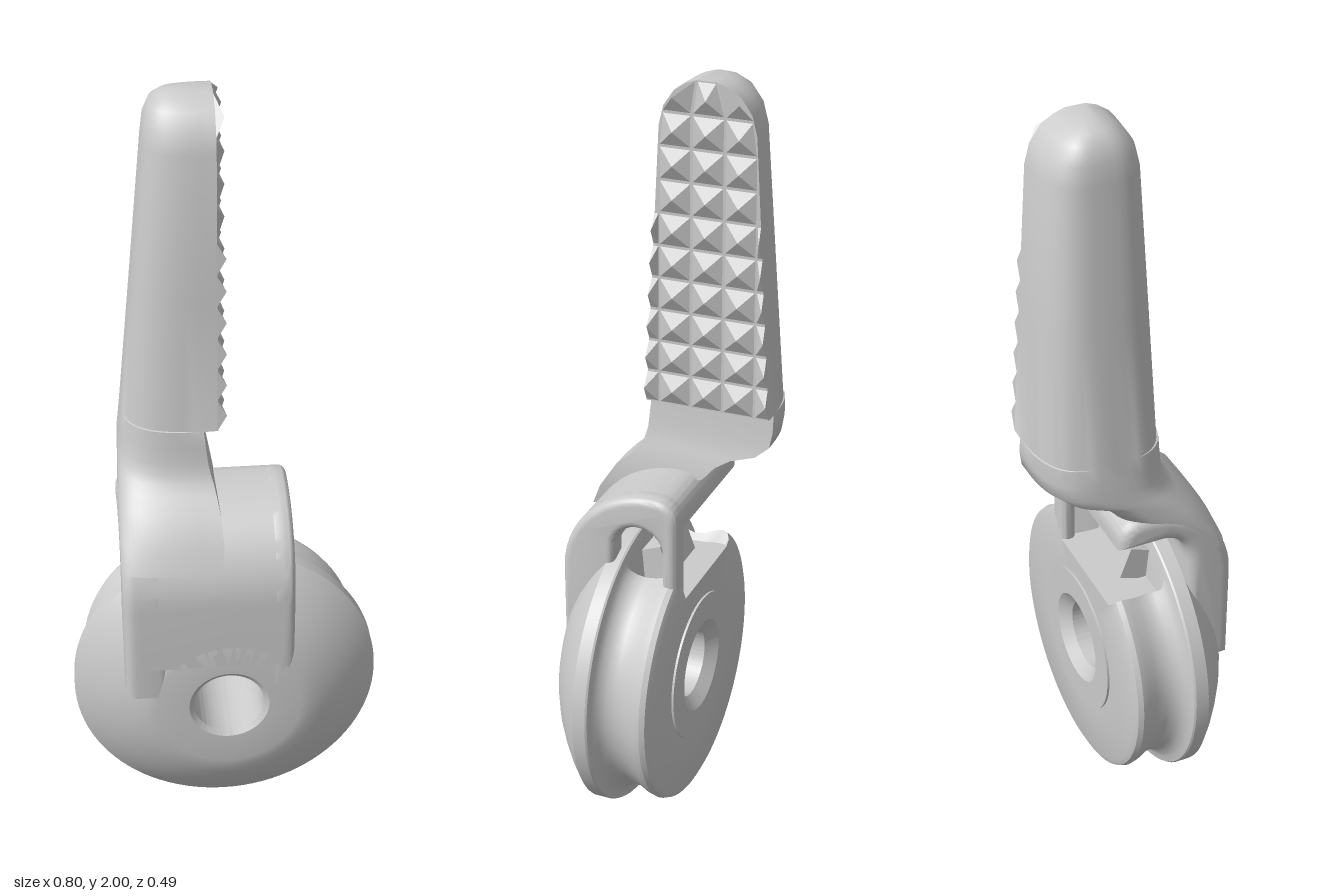
import * as THREE from 'three';
import { mergeGeometries, toCreasedNormals } from 'three/addons/utils/BufferGeometryUtils.js';

// Handle stations: y, outer x, grip-side x, back z, front z
const STATIONS = [
  [0.82, -0.27, -0.02, 0.15, 0.24],
  [0.88, -0.27, -0.01, 0.1, 0.215],
  [0.95, -0.268, -0.015, -0.07, 0.17],
  [0.985, -0.266, -0.022, -0.1, 0.13],
  [1.01, -0.264, -0.028, -0.14, 0.108],
  [1.03, -0.262, -0.034, -0.205, 0.098],
  [1.06, -0.26, -0.04, -0.24, 0.09],
  [1.1, -0.255, -0.045, -0.247, 0.087],
  [1.149, -0.25, -0.05, -0.247, 0.083],
  [1.15, -0.25, -0.014, -0.247, 0.083],
  [1.5, -0.218, -0.014, -0.226, 0.066],
  [1.88, -0.184, -0.014, -0.203, 0.047],
  [1.93, -0.178, -0.014, -0.19, 0.035],
  [1.97, -0.163, -0.014, -0.162, 0.008],
  [1.99, -0.142, -0.014, -0.13, -0.022],
  [2.0, -0.115, -0.014, -0.1, -0.05],
];

// Depth limits of the handle at a given height
function depthAt(y) {
  let i = 1;
  while (i < STATIONS.length - 1 && STATIONS[i][0] < y) i++;
  const a = STATIONS[i - 1], b = STATIONS[i];
  const t = THREE.MathUtils.clamp((y - a[0]) / (b[0] - a[0]), 0, 1);
  return [a[3] + (b[3] - a[3]) * t, a[4] + (b[4] - a[4]) * t];
}

// D-shaped cross-sections lofted upwards, capped at both ends
function handleGeometry() {
  const N = 28, pos = [];
  const rings = STATIONS.map(([y, xo, xg, zb, zf]) => {
    const ring = [];
    for (let i = 0; i <= N; i++) {
      const t = (i / N) * Math.PI, c = Math.cos(t);
      const s = Math.pow(Math.max(0, Math.sin(t)), 0.65);
      const k = Math.sign(c) * Math.pow(Math.abs(c), 0.65);
      ring.push([xg + (xo - xg) * s, y, (zb + zf) / 2 + (k * (zf - zb)) / 2]);
    }
    return ring;
  });
  const tri = (a, b, c) => pos.push(...a, ...b, ...c);
  for (let j = 0; j < rings.length - 1; j++) {
    for (let i = 0; i <= N; i++) {
      const n = (i + 1) % (N + 1), lo = rings[j], hi = rings[j + 1];
      tri(lo[i], hi[i], hi[n]);
      tri(lo[i], hi[n], lo[n]);
    }
  }
  const bottom = rings[0], top = rings[rings.length - 1];
  for (let i = 1; i < N; i++) {
    tri(bottom[0], bottom[i], bottom[i + 1]);
    tri(top[0], top[i + 1], top[i]);
  }
  const g = new THREE.BufferGeometry();
  g.setAttribute('position', new THREE.Float32BufferAttribute(pos, 3));
  return toCreasedNormals(g, 0.7);
}

// Grid of small pyramids trimmed to the handle outline
function gripGeometry() {
  const pitch = 0.085, parts = [];
  for (let r = 0; r < 10; r++) {
    const y = 1.15 + pitch * (r + 0.5);
    const [zb, zf] = depthAt(y);
    for (let c = -2; c <= 2; c++) {
      const z = -0.08 + c * pitch;
      if (z - pitch / 2 > zf - 0.01 || z + pitch / 2 < zb + 0.01) continue;
      const g = new THREE.ConeGeometry(pitch / Math.SQRT2, 0.024, 4, 1, true);
      g.rotateY(Math.PI / 4).rotateZ(-Math.PI / 2).translate(-0.004, y, z);
      const p = g.attributes.position;
      for (let i = 0; i < p.count; i++) {
        const [b, f] = depthAt(p.getY(i));
        p.setZ(i, THREE.MathUtils.clamp(p.getZ(i), b, f));
      }
      parts.push(g);
    }
  }
  return mergeGeometries(parts);
}

// Extrude a side profile (z, y) between two x positions
function sideExtrude(shape, x0, x1, bevel = 0) {
  const g = new THREE.ExtrudeGeometry(shape, {
    depth: x1 - x0 - 2 * bevel, bevelEnabled: bevel > 0, bevelSize: bevel,
    bevelThickness: bevel, bevelOffset: -bevel, bevelSegments: 5, curveSegments: 14,
  });
  g.rotateY(-Math.PI / 2).translate(x1 - bevel, 0, 0);
  return toCreasedNormals(g, 0.6);
}

// Common outer outline of the housing, from the lower front over the top to the back
function housingOutline(frontBottom) {
  const s = new THREE.Shape();
  s.moveTo(0.245, frontBottom);
  s.lineTo(0.245, 0.72);
  s.bezierCurveTo(0.245, 0.86, 0.13, 0.965, 0, 0.965);
  s.quadraticCurveTo(-0.072, 0.965, -0.072, 0.9);
  return s;
}

// End wall with an arched cord passage
function cheekShape() {
  const s = housingOutline(0.46);
  s.lineTo(-0.072, 0.64);
  s.lineTo(-0.03, 0.64);
  s.lineTo(-0.03, 0.81);
  s.absarc(0.035, 0.81, 0.065, Math.PI, 0, true);
  s.lineTo(0.1, 0.76);
  s.lineTo(0.13, 0.7);
  s.lineTo(0.13, 0.46);
  return s;
}

// Front wall and roof, open to the back
function roofShape(frontBottom) {
  const s = housingOutline(frontBottom);
  s.lineTo(-0.072, 0.88);
  s.lineTo(0.05, 0.88);
  s.quadraticCurveTo(0.12, 0.87, 0.12, 0.78);
  s.lineTo(0.12, frontBottom);
  return s;
}

function wheelGeometry() {
  const pts = [
    [0.092, 0.235], [0.092, -0.05], [0.125, -0.078], [0.2, -0.078], [0.2, -0.072],
    [0.345, -0.072], [0.362, -0.064], [0.367, -0.05], [0.362, -0.03], [0.35, -0.005], [0.345, 0.025],
    [0.35, 0.048], [0.362, 0.066], [0.38, 0.076], [0.397, 0.08], [0.4, 0.085], [0.4, 0.12],
    [0.37, 0.148], [0.335, 0.175], [0.295, 0.202], [0.25, 0.226], [0.215, 0.24], [0.19, 0.245],
    [0.105, 0.245], [0.092, 0.235],
  ].map(([r, h]) => new THREE.Vector2(r, h));
  const g = new THREE.LatheGeometry(pts, 96).rotateX(Math.PI / 2).translate(0, 0.4, 0);
  // flat cut under the housing opening, behind the front flange
  const p = g.attributes.position;
  for (let i = 0; i < p.count; i++) {
    const angle = Math.atan2(p.getX(i), p.getY(i) - 0.4);
    if (p.getZ(i) < 0.07 && angle > -0.6 && angle < 0.38) p.setY(i, Math.min(p.getY(i), 0.66));
  }
  return toCreasedNormals(g, 0.5);
}

export function createModel() {
  const model = new THREE.Group();
  model.name = 'cordWheelLever';
  const smooth = new THREE.MeshStandardMaterial({ color: 0xcccccc });
  const faceted = new THREE.MeshStandardMaterial({ color: 0xcccccc, flatShading: true, side: THREE.DoubleSide });
  const add = (name, geometry, material = smooth) => {
    const mesh = new THREE.Mesh(geometry, material);
    mesh.name = name;
    model.add(mesh);
    return mesh;
  };

  // Grooved wheel with its bore
  add('wheel', wheelGeometry());

  // Housing over the top of the wheel, with a back post on the left only
  add('leftCheek', sideExtrude(cheekShape(), 0.1, 0.17, 0.02));
  add('rightCheek', sideExtrude(roofShape(0.44), -0.27, -0.15, 0.03));
  add('housingRoof', sideExtrude(roofShape(0.53), -0.23, 0.14));

  // Slanted cord stop inside the opening
  const stop = add('cordStop', new THREE.BoxGeometry(0.17, 0.09, 0.09), faceted);
  stop.position.set(-0.04, 0.705, 0.05);
  stop.rotation.x = 0.35;

  // Lever and its toothed grip
  add('handle', handleGeometry());
  add('gripTeeth', gripGeometry(), faceted);
  return model;
}
